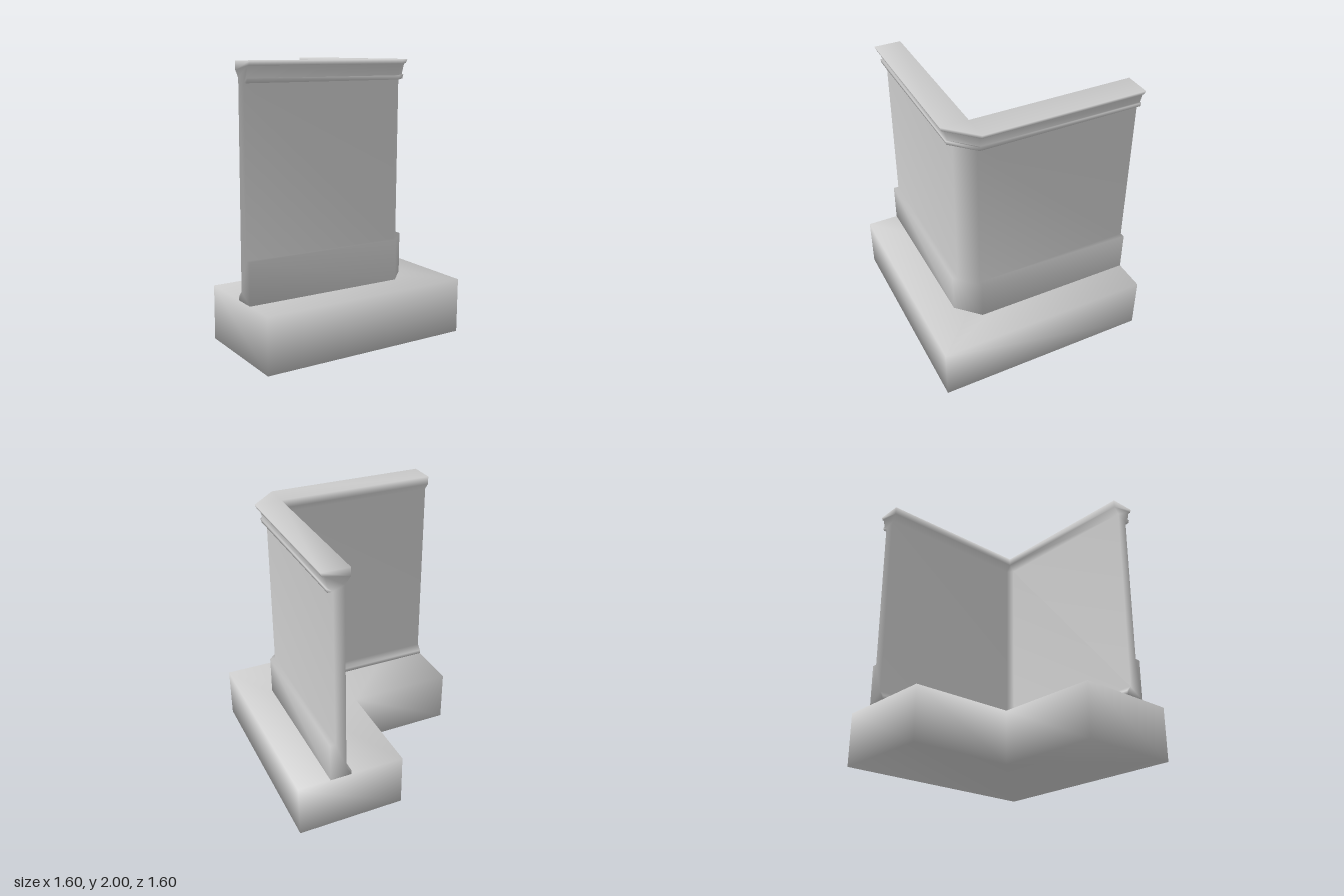
import * as THREE from 'three';
import { mergeVertices } from 'three/addons/utils/BufferGeometryUtils.js';

const material = new THREE.MeshStandardMaterial({ color: 0xcccccc, roughness: 0.8 });

// Weld shared corners so shading runs smoothly over the edges
function smooth(geometry) {
  geometry.deleteAttribute('uv');
  geometry.deleteAttribute('normal');
  const welded = mergeVertices(geometry, 1e-4);
  welded.computeVertexNormals();
  return welded;
}

function addPart(group, name, geometry) {
  const mesh = new THREE.Mesh(smooth(geometry), material);
  mesh.name = name;
  group.add(mesh);
}

// Sweep a closed profile of (depth, height) points round the chamfered corner
function sweepCorner(profile) {
  const pivot = 0.4, end = -0.8;
  const stations = [
    d => [end, pivot + d],
    d => [pivot, pivot + d],
    d => [pivot + d, pivot],
    d => [pivot + d, end],
  ];
  const n = profile.length;
  const positions = [], index = [];
  for (const station of stations) {
    for (const [d, y] of profile) {
      const [x, z] = station(d);
      positions.push(x, y, z);
    }
  }
  for (let s = 0; s < stations.length - 1; s++) {
    for (let i = 0; i < n; i++) {
      const a = s * n + i, b = s * n + (i + 1) % n;
      index.push(a, a + n, b, b, a + n, b + n);
    }
  }
  // Close both cut ends
  const last = (stations.length - 1) * n;
  const outline = profile.map(([d, y]) => new THREE.Vector2(d, y));
  for (const [a, b, c] of THREE.ShapeUtils.triangulateShape(outline, [])) {
    index.push(a, b, c, last + a, last + c, last + b);
  }
  const geometry = new THREE.BufferGeometry();
  geometry.setAttribute('position', new THREE.Float32BufferAttribute(positions, 3));
  geometry.setIndex(index);
  return geometry;
}

export function createModel() {
  const group = new THREE.Group();
  group.name = 'cornerWall';

  // L-shaped floor slab
  const plan = new THREE.Shape([
    [-0.8, -0.8], [0.8, -0.8], [0.8, 0.8], [0, 0.8], [0, 0], [-0.8, 0],
  ].map(([x, y]) => new THREE.Vector2(x, y)));
  const slab = new THREE.ExtrudeGeometry(plan, { depth: 0.4, bevelEnabled: false });
  slab.rotateX(-Math.PI / 2);
  addPart(group, 'floorSlab', slab);

  // Wall with plinth, cornice and inner skirting in one profile
  addPart(group, 'wall', sweepCorner([
    [0, 0.4], [0.16, 0.4], [0.16, 0.7], [0.12, 0.7],               // plinth
    [0.12, 1.86], [0.157, 1.86], [0.165, 1.89], [0.15, 1.89],      // lower bead
    [0.17, 1.97], [0.187, 1.97], [0.2, 2],                         // cornice lip
    [0, 2], [0, 1.94], [0.04, 1.89],                               // inner coping
    [0.04, 0.47], [0, 0.43],                                       // inner skirting
  ]));

  return group;
}
